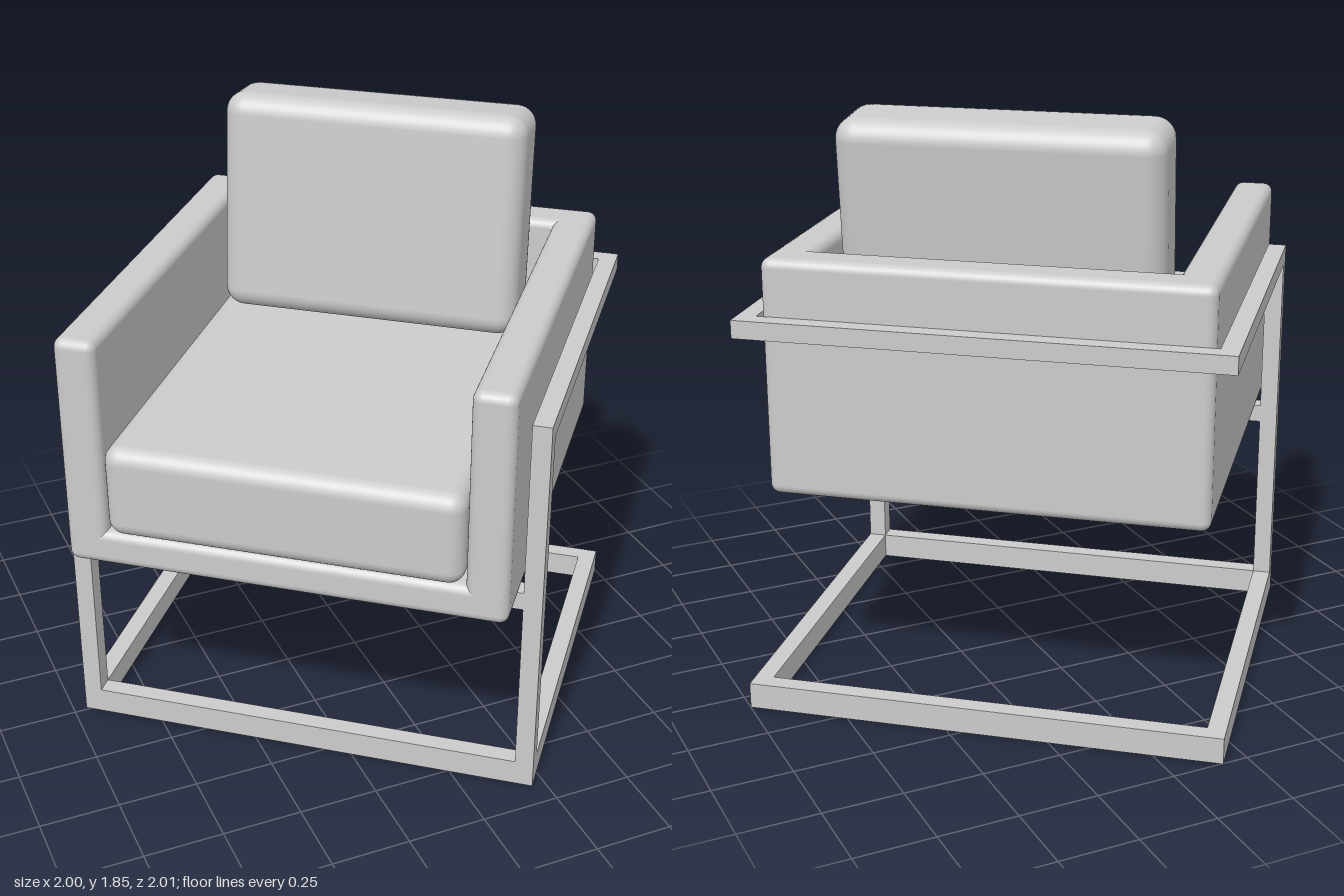
import * as THREE from 'three';
import { RoundedBoxGeometry } from 'three/addons/geometries/RoundedBoxGeometry.js';

const material = new THREE.MeshStandardMaterial({ color: 0xcccccc });

// Adds a box given by its [min, max] range on each axis; radius 0 keeps edges sharp.
function addBox(parent, name, [x0, x1], [y0, y1], [z0, z1], radius = 0) {
  const size = [x1 - x0, y1 - y0, z1 - z0];
  const geometry = radius
    ? new RoundedBoxGeometry(...size, 4, radius)
    : new THREE.BoxGeometry(...size);
  const mesh = new THREE.Mesh(geometry, material);
  mesh.name = name;
  mesh.position.set((x0 + x1) / 2, (y0 + y1) / 2, (z0 + z1) / 2);
  parent.add(mesh);
  return mesh;
}

// Square-tube frame: base loop, front posts, cross rail and a U-shaped arm rail.
function createFrame() {
  const frame = new THREE.Group();
  frame.name = 'frame';
  const W = 0.746, T = 0.058, back = -0.68, front = 0.59;
  const baseY = [0, 0.083], railY = [1.214, 1.27];
  const inner = [-W + T, W - T];

  for (const [side, x] of [['right', [-W, -W + T]], ['left', [W - T, W]]]) {
    addBox(frame, side + 'Post', x, [baseY[1], railY[0]], [front - T, front]);
    addBox(frame, side + 'BaseRail', x, baseY, [back, front]);
    addBox(frame, side + 'ArmRail', x, railY, [back, front]);
  }
  addBox(frame, 'frontBaseRail', inner, baseY, [front - T, front]);
  addBox(frame, 'backBaseRail', inner, baseY, [back, back + T]);
  addBox(frame, 'backRail', inner, railY, [back, back + T]);
  addBox(frame, 'seatCrossRail', inner, [0.65, 0.708], [front - T, front]);
  return frame;
}

// Upholstered shell: two arms, a back and a closed base sharing their outer edges.
function createShell() {
  const shell = new THREE.Group();
  shell.name = 'shell';
  const W = 0.675, inner = 0.547, y = [0.705, 1.445], z = [-0.62, 0.772], r = 0.03;
  addBox(shell, 'rightArm', [-W, -inner], y, z, r);
  addBox(shell, 'leftArm', [inner, W], y, z, r);
  addBox(shell, 'back', [-W, W], y, [z[0], -0.48], r);
  addBox(shell, 'base', [-W, W], [y[0], 0.82], z, r);
  return shell;
}

export function createModel() {
  const model = new THREE.Group();
  model.name = 'armchair';

  // The chair stands turned toward its right.
  const chair = new THREE.Group();
  chair.name = 'chair';
  chair.rotation.y = -0.674;
  chair.position.set(-0.008, 0, -0.006);
  model.add(chair);

  chair.add(createFrame(), createShell());

  // Loose cushions, the seat rising slightly and the back leaning slightly.
  const seat = addBox(chair, 'seatCushion', [-0.543, 0.543], [0.82, 1.118], [-0.47, 0.787], 0.05);
  seat.rotation.x = 0.008;
  const backCushion = addBox(chair, 'backCushion', [-0.5, 0.485], [1.13, 1.85], [-0.473, -0.215], 0.065);
  backCushion.rotation.x = -0.095;

  return model;
}
